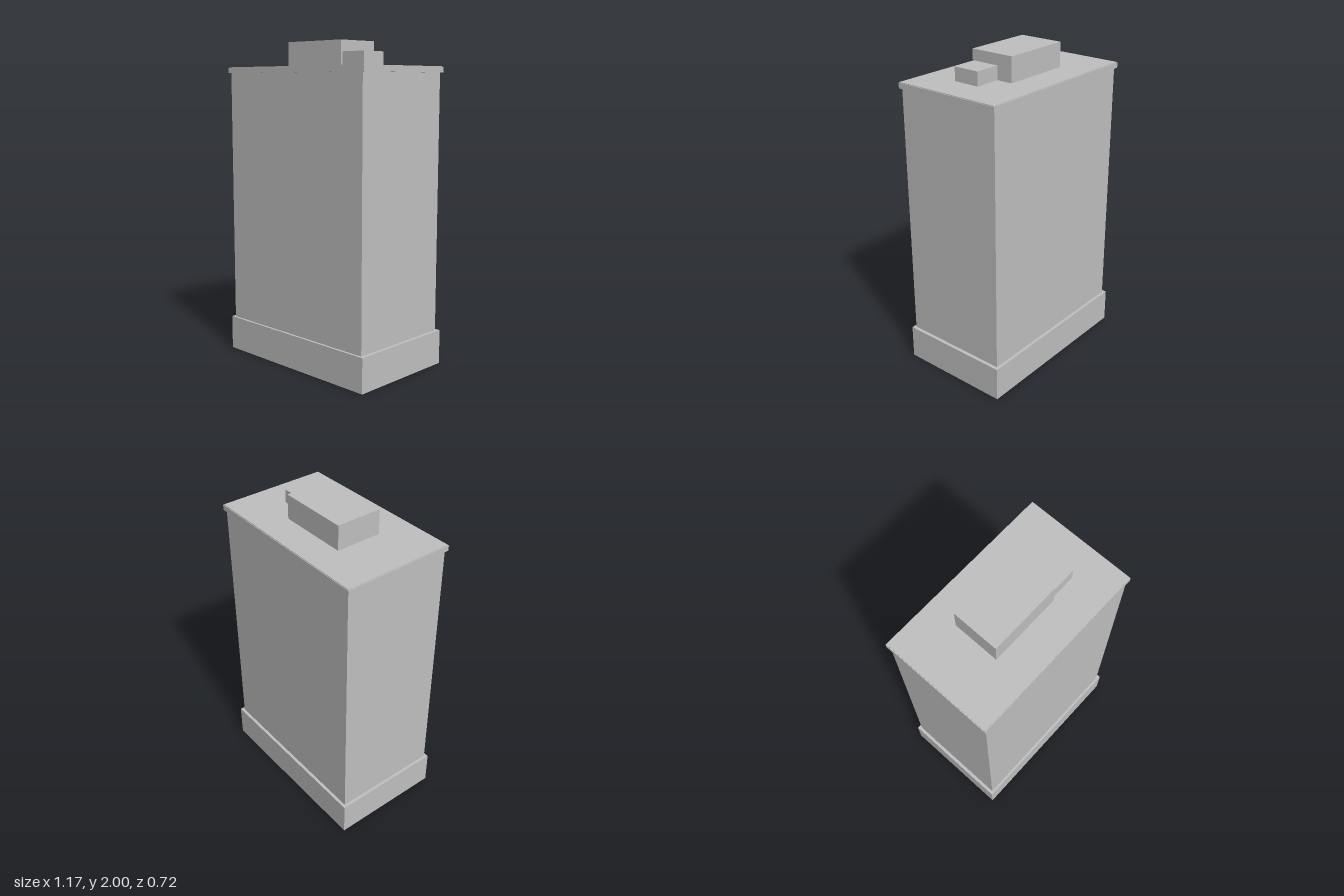
import * as THREE from 'three';

export function createModel() {
  const group = new THREE.Group();
  const gray = new THREE.MeshStandardMaterial({ color: 0xbfbfbf });
  gray.name = 'lightGray';

  // Box given by its extents on each axis
  const addBox = (name, [x0, x1], [y0, y1], [z0, z1]) => {
    const mesh = new THREE.Mesh(new THREE.BoxGeometry(x1 - x0, y1 - y0, z1 - z0), gray);
    mesh.position.set((x0 + x1) / 2, (y0 + y1) / 2, (z0 + z1) / 2);
    mesh.name = name;
    group.add(mesh);
  };

  // Main block: plinth, tall body, overhanging roof slab and its thin top sheet
  addBox('base', [-0.585, 0.585], [0, 0.215], [-0.36, 0.36]);
  addBox('body', [-0.565, 0.563], [0.215, 1.81], [-0.341, 0.345]);
  addBox('roofSlab', [-0.581, 0.579], [1.81, 1.843], [-0.353, 0.355]);
  addBox('roofSheet', [-0.576, 0.574], [1.843, 1.847], [-0.349, 0.351]);

  // Rooftop housings
  addBox('largeRoofHousing', [-0.255, 0.198], [1.847, 2], [-0.155, 0.135]);
  addBox('smallRoofHousing', [0.198, 0.366], [1.847, 1.932], [-0.051, 0.12]);

  return group;
}
